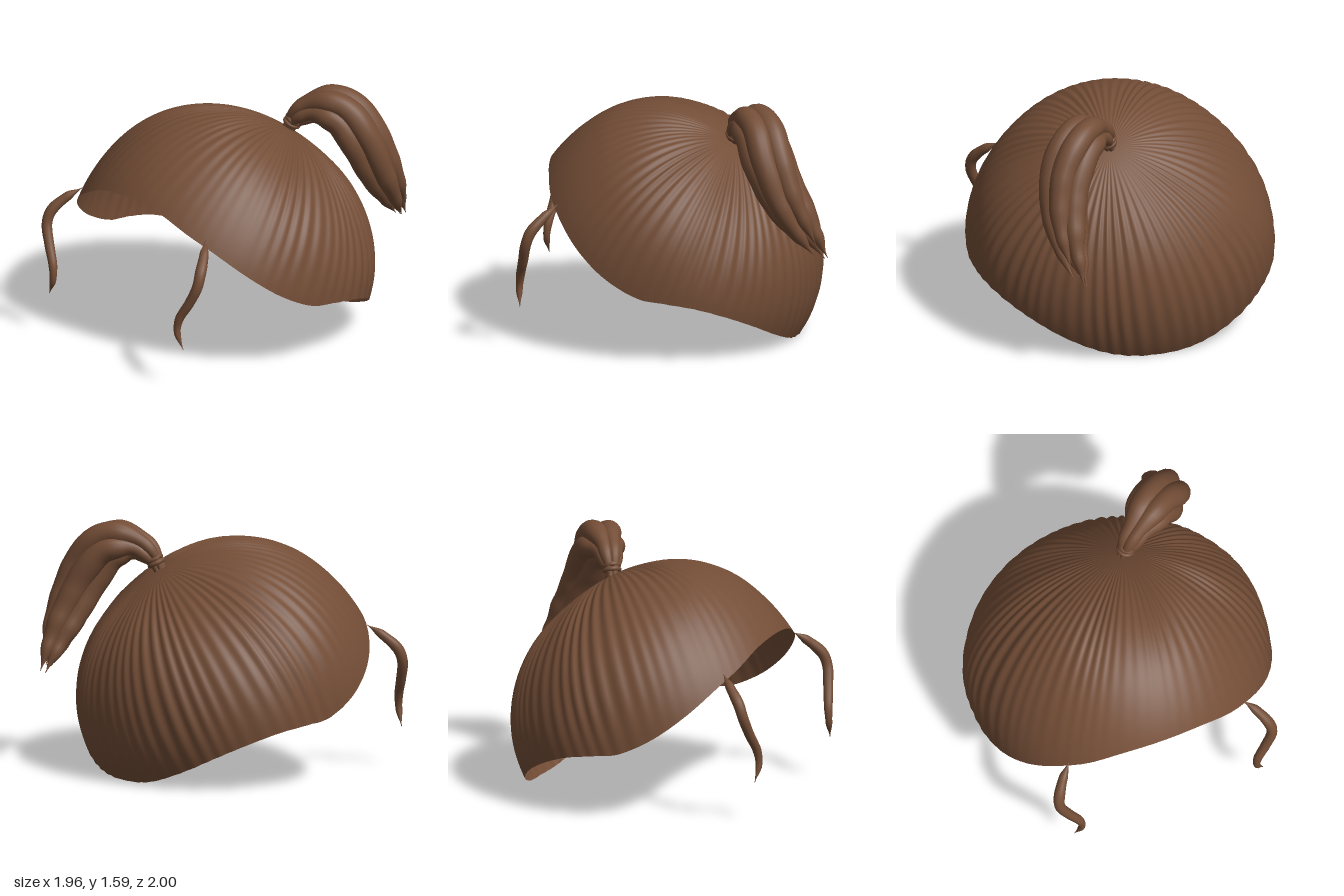
import * as THREE from 'three';

const V = (x, y, z) => new THREE.Vector3(x, y, z);
const smooth = THREE.MathUtils.smoothstep;
const CENTER = V(0, 0.45, 0);
const POLE = V(0.19, 1.31, -0.35);

// Lookup of evenly spaced values, eased between neighbours
function sample(values, t) {
  const f = Math.min(t, 0.99999) * (values.length - 1), i = Math.floor(f);
  return THREE.MathUtils.lerp(values[i], values[i + 1], smooth(f - i, 0, 1));
}

// Radius of the scalp shell in a unit direction: fuller at the upper front, tighter behind
function shellRadius(d) {
  let phi = THREE.MathUtils.radToDeg(Math.atan2(d.y, d.z));
  if (phi < -90) phi += 360;
  const mid = 0.875 + 0.193 * smooth(138 - phi, 0, 80);
  const p = 2.12 - 0.14 * Math.max(smooth(d.y, 0.1, 0.8), smooth(-d.z, 0, 0.5));
  return Math.pow(Math.pow(Math.abs(d.x) / 0.98, p) + Math.pow(Math.hypot(d.y, d.z) / mid, p), -1 / p);
}

// Combed shell: meridians run from the knot to the sloping hairline
function capGeometry() {
  const half = [
    [0, 1.08, 0.86], [0.27, 1.06, 0.86], [0.5, 0.96, 0.81], [0.63, 0.87, 0.73], [0.8, 0.68, 0.54],
    [0.91, 0.54, 0.36], [0.965, 0.44, 0.15], [0.97, 0.42, 0], [0.94, 0.385, -0.2], [0.85, 0.32, -0.37],
    [0.7, 0.23, -0.52], [0.5, 0.12, -0.64], [0.25, 0.03, -0.71], [0, 0.005, -0.74],
  ].map(p => V(...p));
  const mirrored = half.slice(1, -1).reverse().map(p => V(-p.x, p.y, p.z));
  const rim = new THREE.CatmullRomCurve3([...half, ...mirrored], true);
  const locks = 62, around = locks * 7, rows = 44;
  const start = POLE.clone().sub(CENTER).normalize();
  const positions = [], index = [];
  for (let i = 0; i < around; i++) {
    const turn = i / around * Math.PI * 2;
    const end = rim.getPointAt(i / around).sub(CENTER).normalize();
    const angle = start.angleTo(end);
    // Slightly uneven waves
    const ridge = Math.sin(locks * turn + 0.9 * Math.sin(11 * turn)) * (0.75 + 0.25 * Math.sin(7 * turn));
    for (let j = 0; j <= rows; j++) {
      const t = 0.005 + 0.995 * j / rows;
      const d = start.clone().multiplyScalar(Math.sin((1 - t) * angle))
        .addScaledVector(end, Math.sin(t * angle)).normalize();
      // Waves fade at the knot, at the hairline and over the forehead
      const depth = 0.0075 * (1 - 0.85 * smooth(d.z, 0, 0.6))
        * smooth(t, 0.03, 0.45) * (1 - 0.65 * smooth(t, 0.8, 1));
      const v = d.multiplyScalar(shellRadius(d) + depth * ridge).add(CENTER);
      positions.push(v.x, Math.max(v.y, 0), v.z);
      if (j < rows) {
        const a = i * (rows + 1) + j, b = ((i + 1) % around) * (rows + 1) + j;
        index.push(a, a + 1, b, b, a + 1, b + 1);
      }
    }
  }
  const g = new THREE.BufferGeometry();
  g.setAttribute('position', new THREE.Float32BufferAttribute(positions, 3));
  g.setIndex(index);
  g.computeVertexNormals();
  return g;
}

// Tube whose thickness follows a list of radii along its path
function strandGeometry(points, radii, segments = 48, sides = 14) {
  const path = new THREE.CatmullRomCurve3(points);
  const g = new THREE.TubeGeometry(path, segments, 1, sides);
  const pos = g.attributes.position, v = V(0, 0, 0);
  for (let i = 0; i <= segments; i++) {
    const c = path.getPointAt(i / segments), r = sample(radii, i / segments);
    for (let j = 0; j <= sides; j++) {
      const k = i * (sides + 1) + j;
      v.fromBufferAttribute(pos, k).sub(c).multiplyScalar(r).add(c);
      pos.setXYZ(k, v.x, v.y, v.z);
    }
  }
  g.computeVertexNormals();
  // Weld the shading across the lengthwise seam
  const n = g.attributes.normal, a = V(0, 0, 0), b = V(0, 0, 0);
  for (let i = 0; i <= segments; i++) {
    const k = i * (sides + 1);
    a.fromBufferAttribute(n, k).add(b.fromBufferAttribute(n, k + sides)).normalize();
    n.setXYZ(k, a.x, a.y, a.z);
    n.setXYZ(k + sides, a.x, a.y, a.z);
  }
  return g;
}

export function createModel() {
  const model = new THREE.Group();
  model.name = 'hair';
  const brown = new THREE.MeshStandardMaterial({ color: 0x734d36, side: THREE.DoubleSide });
  brown.name = 'brown hair';
  const add = (name, geometry, parent = model) => {
    const m = new THREE.Mesh(geometry, brown);
    m.name = name;
    parent.add(m);
    return m;
  };

  add('hairCap', capGeometry());

  // Loose curved locks framing the face
  for (const s of [1, -1]) {
    const lock = [[0.59, 0.935, 0.735], [0.66, 0.87, 0.81], [0.715, 0.78, 0.89], [0.72, 0.7, 0.92],
      [0.67, 0.58, 0.945], [0.605, 0.46, 0.972], [0.595, 0.37, 0.98], [0.64, 0.26, 0.97]];
    add(s > 0 ? 'leftFaceLock' : 'rightFaceLock',
      strandGeometry(lock.map(([x, y, z]) => V(s * x, y, z)), [0.002, 0.03, 0.036, 0.034, 0.032, 0.029, 0.022, 0.002]));
  }

  // Ponytail: fat lobes bundled around one arching centre line
  const tail = new THREE.Group();
  tail.name = 'ponytail';
  model.add(tail);
  const spine = new THREE.CatmullRomCurve3([
    V(0.18, 1.29, -0.335), V(0.23, 1.385, -0.37), V(0.33, 1.45, -0.44), V(0.46, 1.425, -0.545),
    V(0.56, 1.27, -0.625), V(0.605, 1.06, -0.72), V(0.605, 0.86, -0.835), V(0.565, 0.63, -0.975)]);
  const steps = 40, frames = spine.computeFrenetFrames(steps);
  const spread = [0.022, 0.05, 0.085, 0.092, 0.085, 0.075, 0.055, 0.03];
  const thickness = [0.02, 0.045, 0.077, 0.085, 0.08, 0.07, 0.046, 0.002];
  const lobes = 5, lengths = [1, 0.92, 0.98, 0.94, 1];
  lengths.forEach((length, k) => {
    const points = [], last = Math.round(steps * length);
    for (let i = 0; i <= last; i += 2) {
      const t = i / steps, a = k / lobes * Math.PI * 2 + t * 1.1;
      points.push(spine.getPointAt(t)
        .addScaledVector(frames.normals[i], Math.cos(a) * sample(spread, t))
        .addScaledVector(frames.binormals[i], Math.sin(a) * sample(spread, t)));
    }
    add('ponytailLobe', strandGeometry(points, thickness, 56, 16), tail);
  });

  // Wrapped tie at the base
  for (const t of [0.035, 0.055]) {
    const tie = add('hairTie', new THREE.TorusGeometry(0.045, 0.016, 10, 28), tail);
    tie.position.copy(spine.getPointAt(t));
    tie.quaternion.setFromUnitVectors(V(0, 0, 1), spine.getTangentAt(t));
  }
  return model;
}
